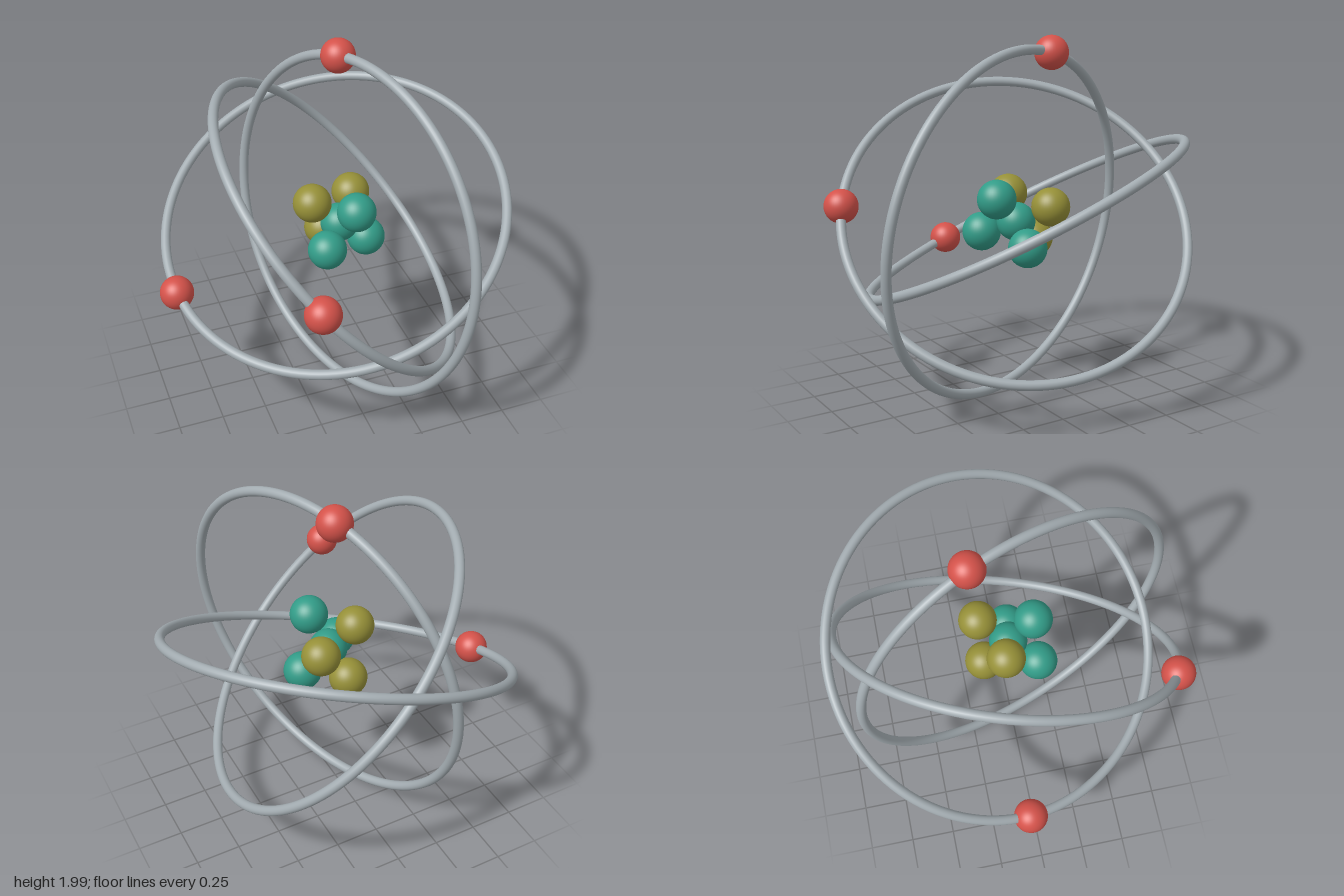
import * as THREE from 'three';

const flat = (name, color) => {
  const m = new THREE.MeshStandardMaterial({ color });
  m.name = name;
  return m;
};

export function createModel() {
  const model = new THREE.Group();
  model.name = 'atom';

  const grey = flat('orbit grey', 0xa3acb1);
  const red = flat('electron red', 0xd4524a);
  const teal = flat('nucleus teal', 0x329c88);
  const olive = flat('nucleus olive', 0x969038);

  // Orbits: centre, plane normal and the electron riding on each
  const R = 0.956;
  const ringGeo = new THREE.TorusGeometry(R, 0.027, 20, 128);
  const electronGeo = new THREE.SphereGeometry(0.093, 40, 28);
  const orbits = [
    { centre: [0.066, 0.985, 0.053], normal: [0.936, -0.11, -0.335], electron: [0.098, 1.91, -0.182] },
    { centre: [0.024, 1.015, -0.063], normal: [-0.297, 0.895, 0.335], electron: [-0.884, 0.71, -0.057] },
    { centre: [0.045, 1.0, -0.005], normal: [0.688, 0.681, 0.248], electron: [-0.363, 1.108, 0.855] },
  ];
  orbits.forEach(({ centre, normal, electron }, i) => {
    const ring = new THREE.Mesh(ringGeo, grey);
    ring.name = `orbitRing${i + 1}`;
    ring.position.set(...centre);
    ring.quaternion.setFromUnitVectors(
      new THREE.Vector3(0, 0, 1), new THREE.Vector3(...normal).normalize());
    const ball = new THREE.Mesh(electronGeo, red);
    ball.name = `electron${i + 1}`;
    ball.position.set(...electron);
    model.add(ring, ball);
  });

  // Nucleus: a loose cluster of two kinds of balls
  const nucleus = new THREE.Group();
  nucleus.name = 'nucleus';
  const nucleonGeo = new THREE.SphereGeometry(0.106, 40, 28);
  const addBalls = (name, material, places) => places.forEach((p, i) => {
    const ball = new THREE.Mesh(nucleonGeo, material);
    ball.name = `${name}${i + 1}`;
    ball.position.set(...p);
    nucleus.add(ball);
  });
  addBalls('proton', teal, [
    [0.04, 1.0, 0.005], [0.082, 1.145, 0.153], [-0.084, 0.938, 0.15], [0.19, 0.882, 0.025],
  ]);
  addBalls('neutron', olive, [
    [-0.104, 1.13, -0.035], [0.16, 1.085, -0.142], [-0.005, 0.882, -0.142],
  ]);
  model.add(nucleus);

  return model;
}
